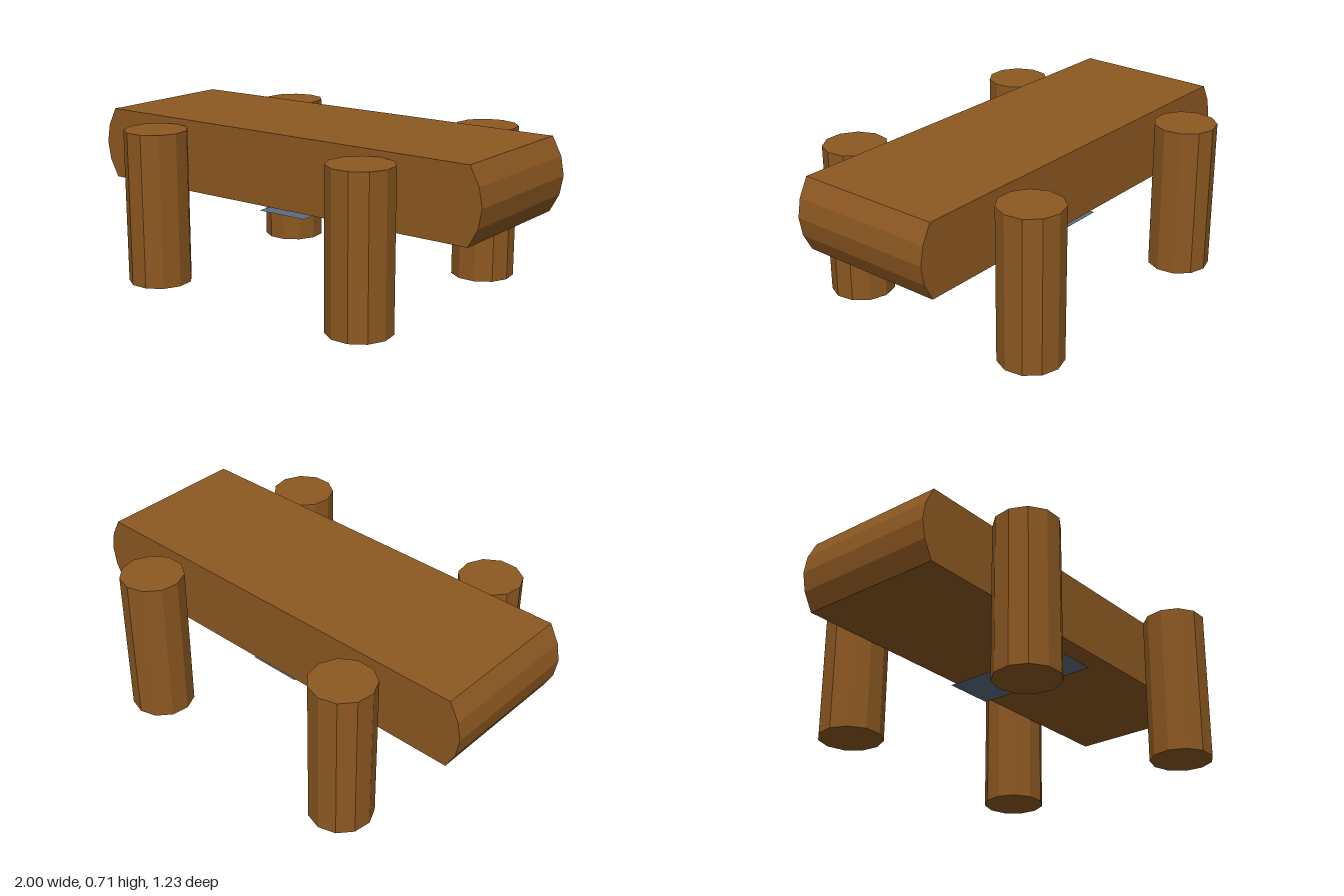
import * as THREE from 'three';

export function createModel() {
  const model = new THREE.Group();
  const wood = new THREE.MeshStandardMaterial({ color: 0x8c5821, flatShading: true });
  const slate = new THREE.MeshStandardMaterial({ color: 0x5a6b80, side: THREE.DoubleSide });

  const add = (name, geometry, material, x, y, z) => {
    const mesh = new THREE.Mesh(geometry, material);
    mesh.name = name;
    mesh.position.set(x, y, z);
    model.add(mesh);
    return mesh;
  };

  // Seat beam: faceted rounded ends, extruded from back to front
  const end = [[0.943, 0.387], [0.985, 0.465], [1, 0.547], [0.985, 0.628], [0.943, 0.708]];
  const outline = [...end, ...end.map(([x, y]) => [-x, y]).reverse()];
  const profile = new THREE.Shape(outline.map(([x, y]) => new THREE.Vector2(x, y)));
  const seat = new THREE.ExtrudeGeometry(profile, { depth: 0.663, bevelEnabled: false });
  add('seat', seat, wood, 0, 0, -0.323);

  // Four eleven-sided posts, each with a corner pointing to the back
  const legGeometry = new THREE.CylinderGeometry(0.14, 0.14, 0.682, 11, 1, false, Math.PI);
  for (const [side, x] of [['Left', 0.545], ['Right', -0.545]]) {
    add('front' + side + 'Leg', legGeometry, wood, x, 0.341, 0.48);
    add('back' + side + 'Leg', legGeometry, wood, x, 0.341, -0.474);
  }

  // Thin sheet hanging just below the seat
  const panel = add('undersidePanel', new THREE.PlaneGeometry(0.24, 0.59), slate, 0, 0.348, 0);
  panel.rotation.x = Math.PI / 2;

  return model;
}
